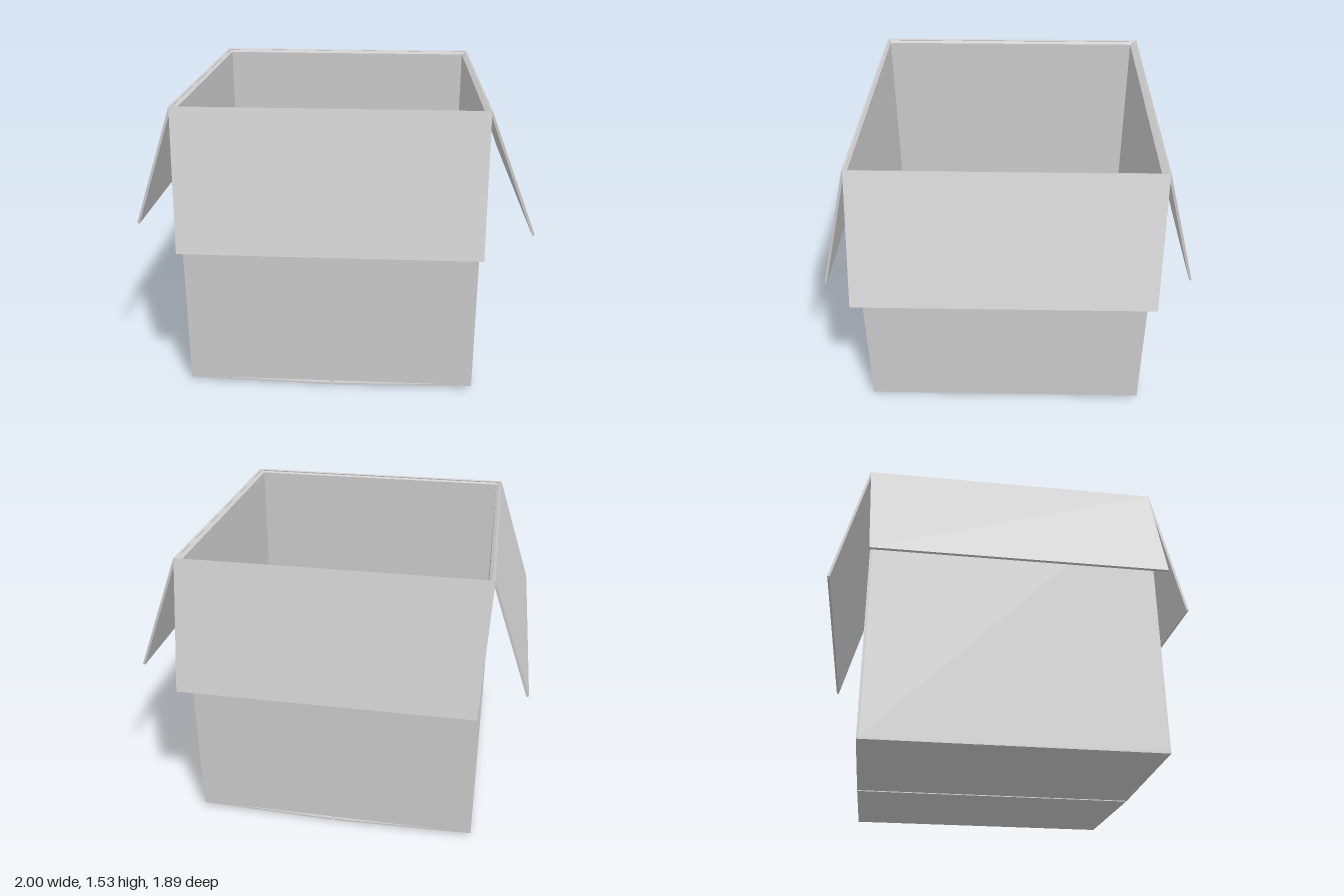
import * as THREE from 'three';

const material = new THREE.MeshStandardMaterial({ color: 0xcccccc, flatShading: true });

// Thin board: four corners in order, thickened along an offset vector
function board(name, corners, offset) {
  const a = corners.map(c => new THREE.Vector3(...c));
  const off = new THREE.Vector3(...offset);
  const normal = a[1].clone().sub(a[0]).cross(a[2].clone().sub(a[0]));
  if (normal.dot(off) > 0) a.reverse();
  const b = a.map(v => v.clone().add(off));
  const tris = [a[0], a[1], a[2], a[0], a[2], a[3], b[0], b[2], b[1], b[0], b[3], b[2]];
  for (let i = 0; i < 4; i++) {
    const j = (i + 1) % 4;
    tris.push(a[i], b[i], b[j], a[i], b[j], a[j]);
  }
  const geometry = new THREE.BufferGeometry().setFromPoints(tris);
  geometry.computeVertexNormals();
  const mesh = new THREE.Mesh(geometry, material);
  mesh.name = name;
  return mesh;
}

export function createModel() {
  const group = new THREE.Group();
  group.name = 'openBox';
  const T = 0.013, base = 0.025, wallTop = 1.515, crest = 1.532;
  const X = [-0.775, 0.735], Z = [-0.742, 0.765];

  // Each side: axis, outward sign, wall plane, flap hinge, flap tip, tip height,
  // then the extents along the side of the wall, hinge and tip
  const sides = [
    { name: 'front', axis: 'z', s: 1, wall: Z[1], hinge: 0.772, tip: 0.945, low: 0.835, w: X, h: [-0.79, 0.75], t: [-0.76, 0.737] },
    { name: 'back', axis: 'z', s: -1, wall: Z[0], hinge: -0.768, tip: -0.945, low: 0.885, w: X, h: [-0.79, 0.75], t: [-0.76, 0.737] },
    { name: 'left', axis: 'x', s: 1, wall: X[1], hinge: 0.752, tip: 1.0, low: 0.902, w: Z, h: [-0.766, 0.768], t: [-0.738, 0.76] },
    { name: 'right', axis: 'x', s: -1, wall: X[0], hinge: -0.79, tip: -1.0, low: 0.918, w: Z, h: [-0.766, 0.768], t: [-0.738, 0.76] },
  ];

  for (const d of sides) {
    const p = (out, y, along) => (d.axis === 'x' ? [out, y, along] : [along, y, out]);
    const inner = d.wall - d.s * T;
    // Upright wall
    group.add(board(d.name + 'Wall', [
      p(d.wall, base, d.w[0]), p(d.wall, base, d.w[1]),
      p(d.wall, wallTop, d.w[1]), p(d.wall, wallTop, d.w[0]),
    ], p(-d.s * T, 0, 0)));
    // Folded rim joining wall and flap
    group.add(board(d.name + 'Rim', [
      p(inner, wallTop, d.w[0] + T), p(inner, wallTop, d.w[1] - T),
      p(d.hinge, crest, d.h[1]), p(d.hinge, crest, d.h[0]),
    ], [0, -T, 0]));
    // Flap hanging outward, narrower at its free edge
    group.add(board(d.name + 'TopFlap', [
      p(d.hinge, crest, d.h[0]), p(d.hinge, crest, d.h[1]),
      p(d.tip, d.low, d.t[1]), p(d.tip, d.low, d.t[0]),
    ], p(-d.s * 0.012, -0.004, 0)));
  }

  // Inner bottom flaps, leaving a strip open in the middle
  for (const [name, z0, z1] of [['frontBottomFlap', 0.197, Z[1]], ['backBottomFlap', Z[0], -0.185]]) {
    group.add(board(name, [
      [X[0], base, z0], [X[1], base, z0], [X[1], base, z1], [X[0], base, z1],
    ], [0, 0.01, 0]));
  }

  // Outer bottom flaps, sagging to a narrow gap at the centre
  for (const [name, x0, x1] of [['leftBottomFlap', X[1], -0.005], ['rightBottomFlap', X[0], -0.021]]) {
    group.add(board(name, [
      [x0, 0.02, Z[0]], [x0, 0.02, Z[1]], [x1, 0, Z[1]], [x1, 0, Z[0]],
    ], [0, 0.009, 0]));
  }
  return group;
}
